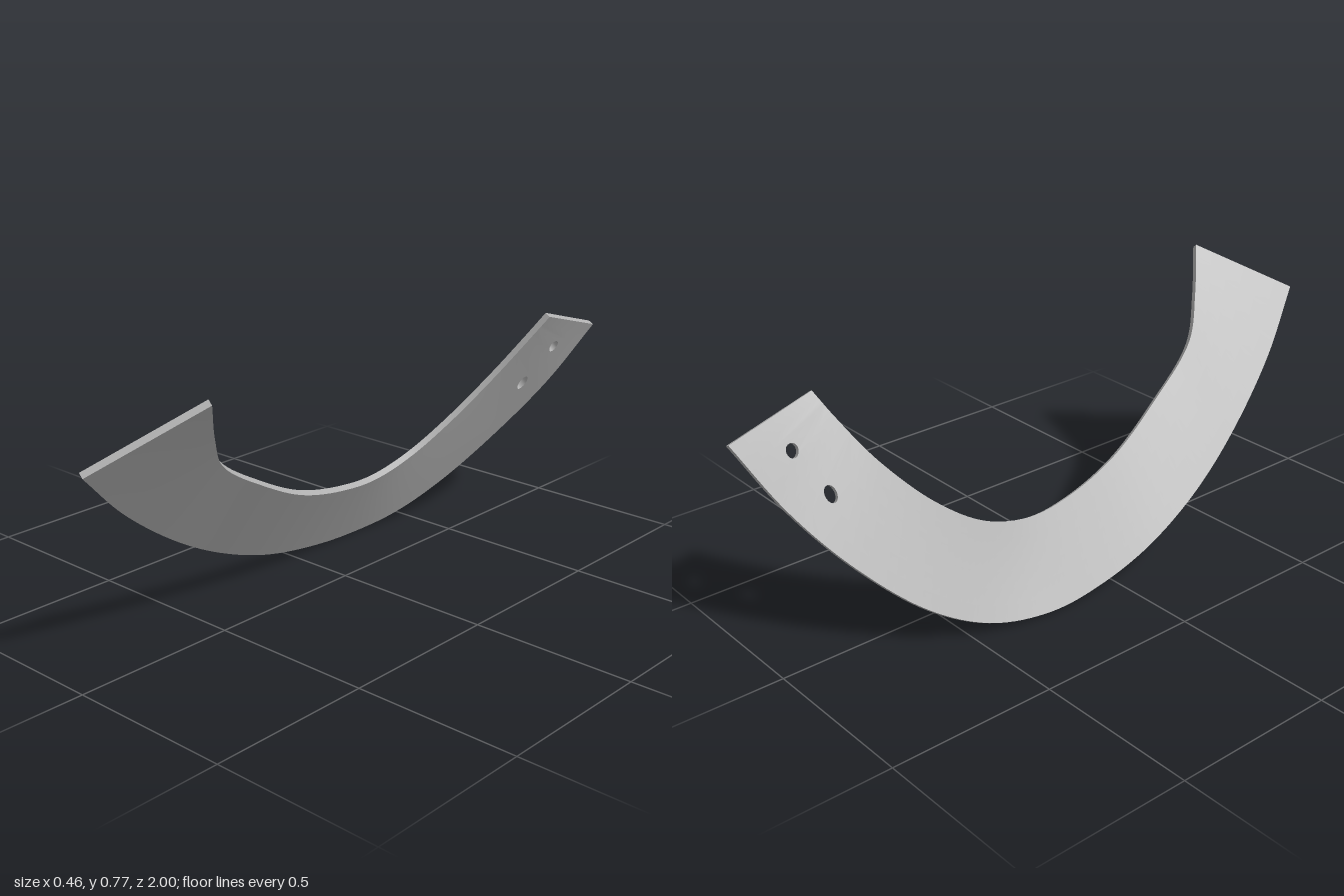
import * as THREE from 'three';

const THICK = 0.02, STEPS = 8, ROWS = 6;
const curve = (pts) => new THREE.CatmullRomCurve3(pts.map((p) => new THREE.Vector3(...p)));

// Lower and upper rims of the strap, from the front end to the back end
const outer = curve([
  [0.055, 0.604, 1], [-0.03, 0.433, 0.81], [-0.108, 0.262, 0.57], [-0.16, 0.144, 0.356],
  [-0.193, 0.06, 0.14], [-0.21, 0.016, -0.07], [-0.211, 0.003, -0.26], [-0.18, 0.03, -0.447],
  [-0.122, 0.11, -0.61], [-0.025, 0.257, -0.77], [0.083, 0.43, -0.9], [0.183, 0.62, -1]]);
const inner = curve([
  [0.227, 0.762, 0.73], [0.147, 0.636, 0.65], [0.078, 0.522, 0.56], [0.02, 0.396, 0.356],
  [-0.03, 0.294, 0.14], [-0.06, 0.243, -0.07], [-0.068, 0.235, -0.22], [-0.055, 0.273, -0.37],
  [-0.01, 0.36, -0.5], [0.068, 0.497, -0.624], [0.143, 0.62, -0.7], [0.19, 0.695, -0.74]]);
const SPANS = outer.points.length - 1;

// Bolt holes: centre (u, v) and the block of grid columns replaced around each
const holes = [{ u: 9.6, v: 0.42, from: 75, to: 78 }, { u: 10.4, v: 0.45, from: 82, to: 85 }];
for (const h of holes) {
  h.ring = [];
  for (let i = 0; i < 20; i++) {
    const a = -i / 20 * Math.PI * 2; // clockwise
    h.ring.push(new THREE.Vector2(h.u + 0.114 * Math.cos(a), h.v + 0.068 * Math.sin(a)));
  }
}

const surface = (u, v) => outer.getPoint(u / SPANS).lerp(inner.getPoint(u / SPANS), v);

// Point on the strap; depth 0 is the underside, 1 the upper side
function point(u, v, depth) {
  const p = surface(u, v);
  if (!depth) return p;
  const e = 0.02, u0 = Math.max(0, u - e), u1 = Math.min(SPANS, u + e);
  const du = surface(u1, v).sub(surface(u0, v));
  const dv = surface(u, 1).sub(surface(u, 0));
  return p.addScaledVector(du.cross(dv).normalize(), -THICK * depth);
}

function toGeometry(points, index) {
  const g = new THREE.BufferGeometry().setFromPoints(points);
  g.setIndex(index);
  g.computeVertexNormals();
  return g;
}

// Broad face of the strap, with the holes left open
function face(depth) {
  const uv = [], index = [], cols = SPANS * STEPS;
  const id = (i, j) => i * (ROWS + 1) + j;
  for (let i = 0; i <= cols; i++)
    for (let j = 0; j <= ROWS; j++) uv.push(new THREE.Vector2(i / STEPS, j / ROWS));
  for (let i = 0; i < cols; i++) {
    if (holes.some((h) => i >= h.from && i < h.to)) continue;
    for (let j = 0; j < ROWS; j++) {
      const a = id(i, j), b = id(i + 1, j), c = id(i + 1, j + 1), d = id(i, j + 1);
      index.push(a, b, c, a, c, d);
    }
  }
  for (const h of holes) {
    const ids = [];
    for (let i = h.from; i < h.to; i++) ids.push(id(i, 0));
    for (let j = 0; j < ROWS; j++) ids.push(id(h.to, j));
    for (let i = h.to; i > h.from; i--) ids.push(id(i, ROWS));
    for (let j = ROWS; j > 0; j--) ids.push(id(h.from, j));
    const tris = THREE.ShapeUtils.triangulateShape(ids.map((k) => uv[k]), [h.ring]);
    for (const p of h.ring) ids.push(uv.push(p) - 1);
    for (const t of tris) index.push(...t.map((k) => ids[k]));
  }
  if (depth) index.reverse();
  return toGeometry(uv.map((p) => point(p.x, p.y, depth)), index);
}

// Narrow wall joining both faces along a path
function wall(path) {
  const pts = [], index = [];
  path.forEach((p, i) => {
    pts.push(point(p.x, p.y, 0), point(p.x, p.y, 1));
    const a = 2 * i;
    if (i < path.length - 1) index.push(a + 1, a + 3, a + 2, a + 1, a + 2, a);
  });
  return toGeometry(pts, index);
}

function line(u0, v0, u1, v1, n) {
  const a = new THREE.Vector2(u0, v0), b = new THREE.Vector2(u1, v1);
  return Array.from({ length: n + 1 }, (_, i) => a.clone().lerp(b, i / n));
}

export function createModel() {
  const model = new THREE.Group();
  model.name = 'curvedStrap';
  const metal = new THREE.MeshStandardMaterial({ color: 0xb0b0b0 });
  metal.name = 'grey metal';
  const add = (name, geometry) => {
    const mesh = new THREE.Mesh(geometry, metal);
    mesh.name = name;
    model.add(mesh);
  };
  const n = SPANS * STEPS;
  add('underside', face(0));
  add('upperSide', face(1));
  add('outerRim', wall(line(0, 0, SPANS, 0, n)));
  add('backEnd', wall(line(SPANS, 0, SPANS, 1, ROWS)));
  add('innerRim', wall(line(SPANS, 1, 0, 1, n)));
  add('frontEnd', wall(line(0, 1, 0, 0, ROWS)));
  holes.forEach((h, i) => add('boltHole' + (i + 1), wall([...h.ring, h.ring[0]])));
  return model;
}
